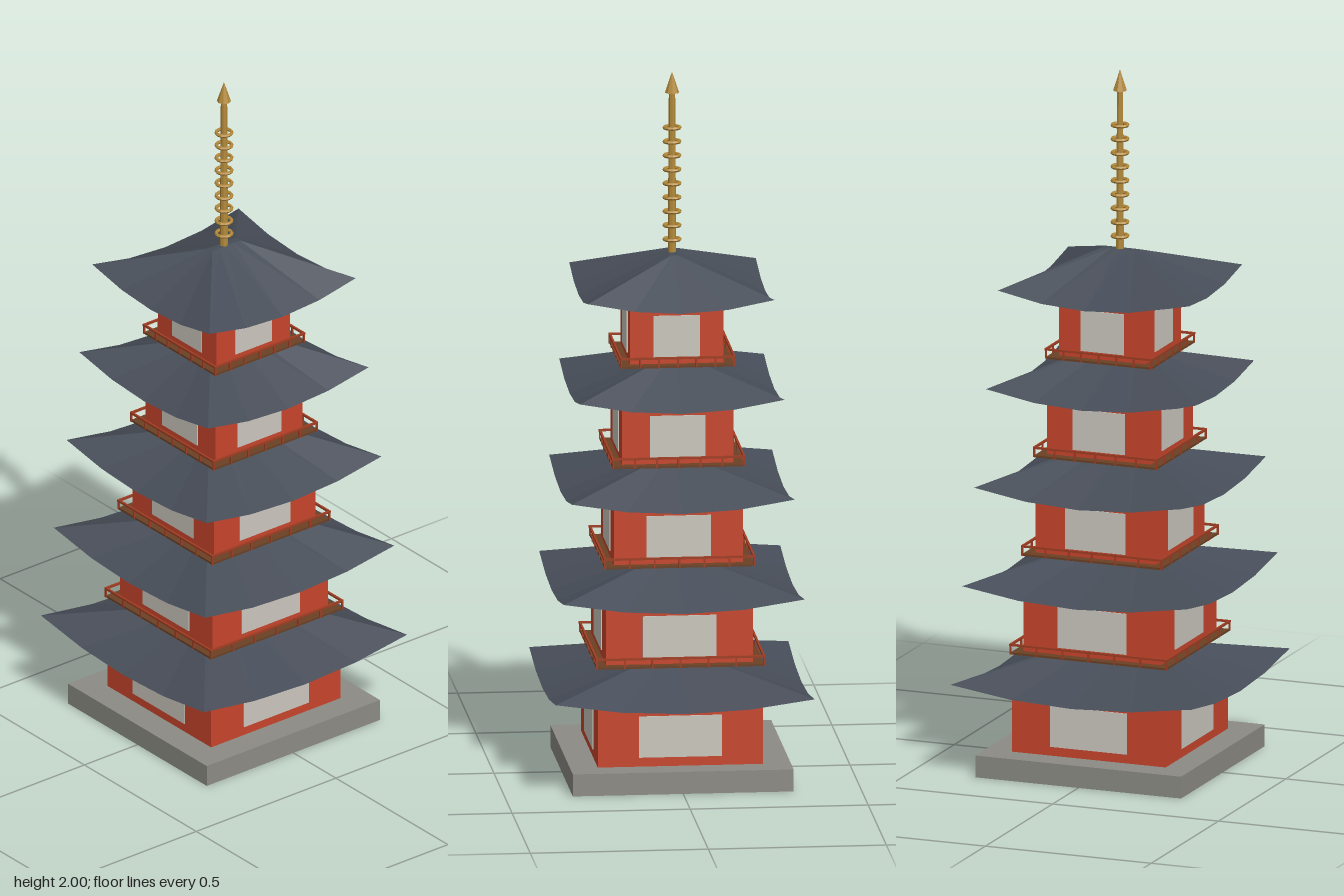
import * as THREE from 'three';

const mat = (name, color) => {
  const m = new THREE.MeshStandardMaterial({ color });
  m.name = name;
  return m;
};

// Square ring of points running round from the front; each is [x, y, z]
function squareRing(halfX, halfZ, yAt) {
  const ring = [];
  const sides = [t => [t, 1], t => [1, -t], t => [-t, -1], t => [-1, t]];
  for (const side of sides) {
    for (let j = 0; j < 4; j++) {
      const t = -1 + j * 0.5;
      const [x, z] = side(t);
      ring.push([x * halfX, yAt(t), z * halfZ]);
    }
  }
  return ring;
}

// Faceted skin across a list of equal rings
function loft(rings) {
  const pos = [];
  for (let r = 0; r < rings.length - 1; r++) {
    const lo = rings[r], hi = rings[r + 1], n = lo.length;
    for (let i = 0; i < n; i++) {
      const k = (i + 1) % n;
      pos.push(...lo[i], ...lo[k], ...hi[k], ...lo[i], ...hi[k], ...hi[i]);
    }
  }
  const geo = new THREE.BufferGeometry();
  geo.setAttribute('position', new THREE.Float32BufferAttribute(pos, 3));
  geo.computeVertexNormals();
  return geo;
}

// Hipped roof: soffit, eaves lifted at the corners, short ridge
function roofGeometry(eave, wall) {
  const ridge = eave * 0.19;
  return loft([
    squareRing(wall * 0.98, wall * 0.98, () => 0.184),
    squareRing(eave, eave, t => 0.178 + 0.034 * t * t),
    squareRing(ridge, 0.01, () => 0.297),
    squareRing(0, 0, () => 0.297),
  ]);
}

export function createModel() {
  const red = mat('red timber', 0xc8452c);
  const plaster = mat('pale plaster', 0xcbc7be);
  const slate = mat('slate roof', 0x474d58);
  const stone = mat('grey stone', 0x8c8b84);
  const wood = mat('brown floor', 0x6b4024);
  const railing = mat('railing red', 0xa03c22);
  const gold = mat('gold metal', 0xb48a3a);
  gold.flatShading = true;

  const model = new THREE.Group();
  model.name = 'pagoda';
  const add = (parent, name, geo, material, x = 0, y = 0, z = 0) => {
    const m = new THREE.Mesh(geo, material);
    m.name = name;
    m.position.set(x, y, z);
    parent.add(m);
    return m;
  };
  const box = (w, h, d) => new THREE.BoxGeometry(w, h, d);

  add(model, 'stoneBase', box(0.62, 0.063, 0.62), stone, 0, 0.0315, 0);

  // Five storeys, each smaller than the one below
  for (let i = 0; i < 5; i++) {
    const storey = new THREE.Group();
    storey.name = 'storey' + (i + 1);
    storey.position.y = 0.063 + 0.281 * i;
    model.add(storey);

    const wall = 0.232 - 0.0253 * i;
    const eave = 0.364 - 0.0255 * i;
    add(storey, 'walls', box(wall * 2, 0.187, wall * 2), red, 0, 0.0935, 0);
    add(storey, 'roof', roofGeometry(eave, wall), slate);

    const rail = wall + 0.028;
    if (i > 0) add(storey, 'balconyFloor', box(rail * 2, 0.006, rail * 2), wood, 0, 0.003, 0);

    // Window panel and balcony rail on each of the four sides
    for (let s = 0; s < 4; s++) {
      const side = new THREE.Group();
      side.name = 'side' + (s + 1);
      side.rotation.y = s * Math.PI / 2;
      storey.add(side);
      add(side, 'windowPanel', box(wall, 0.118, 0.006), plaster, 0, 0.085, wall);
      if (i === 0) continue;
      add(side, 'topRail', box(rail * 2 + 0.006, 0.006, 0.006), railing, 0, 0.028, rail);
      for (let p = 0; p < 6; p++) {
        const x = -rail + p * rail / 3;
        add(side, 'railPost', box(0.005, 0.026, 0.005), railing, x, 0.014, rail);
      }
    }
  }

  // Spire with nine rings and a pointed tip
  const spire = new THREE.Group();
  spire.name = 'spire';
  model.add(spire);
  add(spire, 'pole', new THREE.CylinderGeometry(0.009, 0.012, 0.49, 8), gold, 0, 1.7, 0);
  const ringGeo = new THREE.TorusGeometry(0.022, 0.005, 6, 12).rotateX(Math.PI / 2);
  for (let i = 0; i < 9; i++) add(spire, 'ring', ringGeo, gold, 0, 1.52 + 0.04 * i, 0);
  add(spire, 'tip', new THREE.ConeGeometry(0.02, 0.06, 8), gold, 0, 1.97, 0);

  return model;
}
